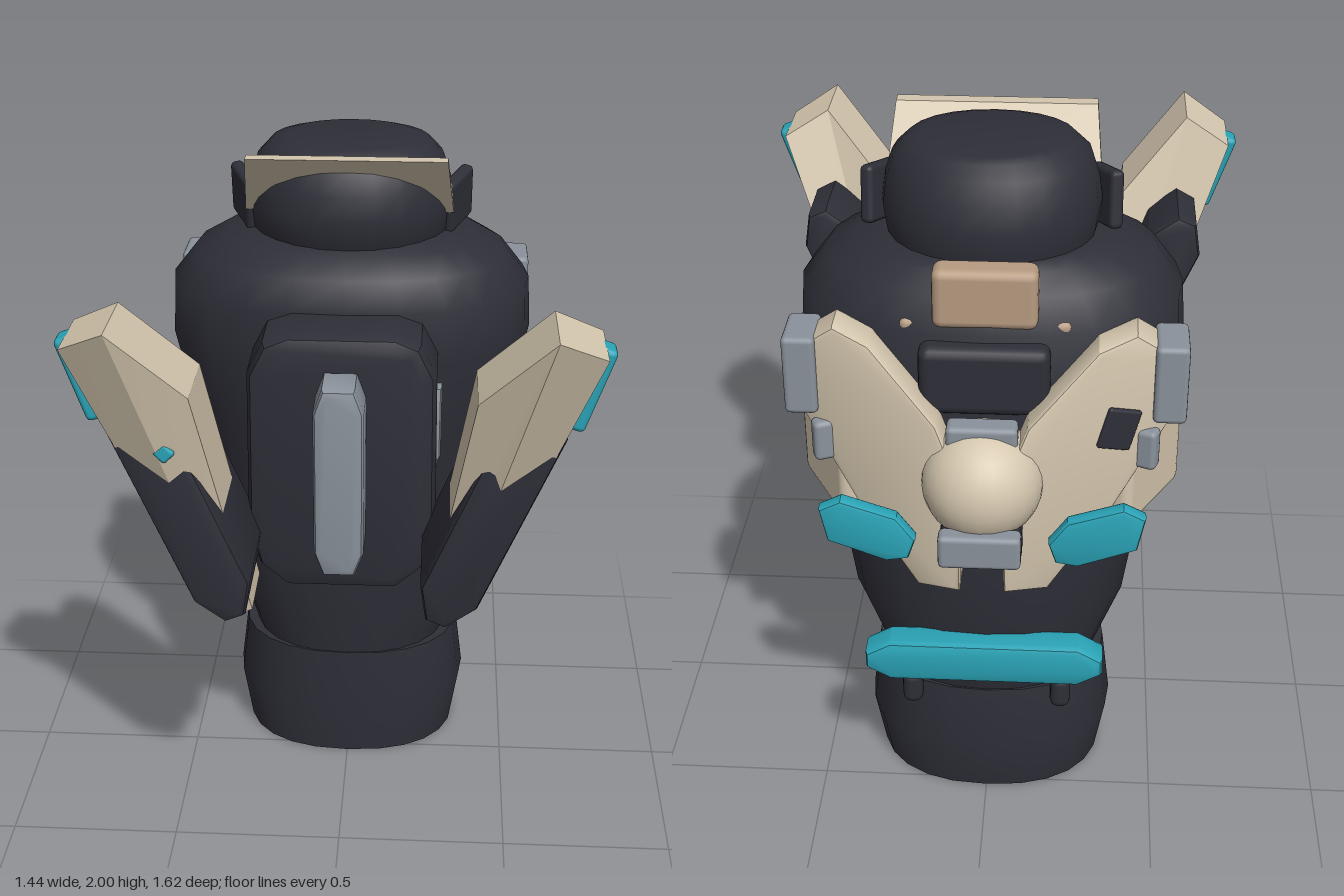
import * as THREE from 'three';
import { toCreasedNormals } from 'three/addons/utils/BufferGeometryUtils.js';
import { RoundedBoxGeometry } from 'three/addons/geometries/RoundedBoxGeometry.js';

const paint = (name, color) => {
  const m = new THREE.MeshStandardMaterial({ color });
  m.name = name;
  return m;
};

export function createModel() {
  const root = new THREE.Group();
  const dark = paint('charcoal', 0x2e2e38);
  const beige = paint('beige armour', 0xd5c7af);
  const grey = paint('grey metal', 0x8a929b);
  const teal = paint('teal accent', 0x2aa3b6);
  const tan = paint('tan', 0xb79b81);

  const add = (name, geometry, material, pos = [0, 0, 0], rot = [0, 0, 0]) => {
    const mesh = new THREE.Mesh(geometry, material);
    mesh.name = name;
    mesh.position.set(...pos);
    mesh.rotation.set(...rot);
    root.add(mesh);
    return mesh;
  };
  const box = (name, material, size, pos, rot, r = 0.015) =>
    add(name, new RoundedBoxGeometry(...size, 2, r), material, pos, rot);

  // Move every vertex of a geometry by a rule
  const reshape = (geometry, rule, crease) => {
    const p = geometry.attributes.position;
    const v = new THREE.Vector3();
    for (let i = 0; i < p.count; i++) {
      v.fromBufferAttribute(p, i);
      rule(v);
      p.setXYZ(i, v.x, v.y, v.z);
    }
    return toCreasedNormals(geometry, crease);
  };

  // Rounded body through sections [y, half width, front z, back z]
  const loft = (sections, power = 2.3) => {
    const n = sections.length - 1;
    const round = (a) => Math.sign(a) * Math.pow(Math.abs(a), 2 / power);
    return reshape(new THREE.CylinderGeometry(1, 1, 1, 24, n), (v) => {
      const [y, hx, front, back] = sections[Math.round((v.y + 0.5) * n)];
      const edge = Math.hypot(v.x, v.z) > 0.5 ? 1 : 0;
      v.set(edge * round(v.x) * hx, y, (front + back) / 2 + edge * round(v.z) * (front - back) / 2);
    }, 0.9);
  };

  // Bevelled plate from an outline in x, y
  const plate = (points, depth, bevel) => {
    const shape = new THREE.Shape(points.map(([x, y]) => new THREE.Vector2(x, y)));
    const g = new THREE.ExtrudeGeometry(shape, {
      depth: depth - 2 * bevel, bevelThickness: bevel, bevelSize: bevel,
      bevelOffset: -bevel, bevelSegments: 2,
    });
    return toCreasedNormals(g.translate(0, 0, bevel), 0.6);
  };
  const mirrored = (half) => [...half, ...half.map(([x, y]) => [-x, y]).reverse()];

  // Torso, hips and head
  add('hips', loft([
    [0, 0.34, 0.04, -0.53], [0.18, 0.37, 0.055, -0.56], [0.38, 0.345, 0.05, -0.535],
  ]), dark);
  add('torso', loft([
    [0.34, 0.3, 0.04, -0.52], [0.4, 0.315, 0.05, -0.535], [0.65, 0.405, 0.075, -0.59],
    [0.95, 0.45, 0.1, -0.6], [1.2, 0.495, 0.15, -0.59], [1.42, 0.54, 0.18, -0.57],
    [1.58, 0.53, 0.18, -0.54], [1.67, 0.46, 0.155, -0.5], [1.72, 0.37, 0.1, -0.46],
    [1.74, 0.3, 0.05, -0.43],
  ]), dark);
  add('head', loft([
    [1.68, 0.27, 0.04, -0.43], [1.75, 0.29, 0.08, -0.44], [1.82, 0.3, 0.09, -0.45],
    [1.89, 0.29, 0.08, -0.43], [1.95, 0.27, 0.055, -0.405], [1.99, 0.23, 0.02, -0.38],
    [2, 0.19, -0.01, -0.35],
  ], 2.1), dark);

  // Brow crest sloping up and forward around the head
  add('browCrest', reshape(new THREE.BoxGeometry(0.58, 0.2, 0.045), (v) => {
    v.x *= v.y > 0 ? 0.97 : 1.04;
    v.z += v.y * 0.9 - 0.02;
    v.y += 1.9;
  }, 0.3), beige);

  // Front pack with its bar and lower tab
  add('frontPack', plate(mirrored([
    [0.15, 1.58], [0.22, 1.55], [0.265, 1.46], [0.27, 0.98], [0.24, 0.86], [0.16, 0.79],
  ]), 0.355, 0.04), dark);
  add('packBar', plate(mirrored([
    [0.045, 1.48], [0.07, 1.41], [0.07, 0.98], [0.045, 0.91],
  ]), 0.15, 0.02), grey, [0, 0, 0.34]);
  add('chestPlate', plate(mirrored([
    [0.28, 1.36], [0.28, 1.14], [0.13, 0.77], [0.09, 0.73],
  ]), 0.13, 0.015), grey, [0, 0, 0.045]);

  // Wing columns [x, y, front z, back z] at bottom and top: inner, ridge, outer
  const wing = [
    [[0.25, 0.78, 0.46, 0.25], [0.37, 1.55, 0.71, 0.48]],
    [[0.31, 0.77, 0.49, 0.27], [0.56, 1.76, 0.81, 0.58]],
    [[0.42, 0.93, 0.52, 0.31], [0.69, 1.69, 0.74, 0.53]],
  ];

  for (const s of [1, -1]) {
    const side = s > 0 ? 'left' : 'right';

    // Raised front wing with its inner block
    add(side + 'Wing', reshape(new THREE.BoxGeometry(1, 1, 1, 2, 1, 1), (v) => {
      const [x, y, front, back] = wing[Math.round(s * v.x * 2) + 1][v.y > 0 ? 1 : 0];
      v.set(s * x, y, v.z > 0 ? front : back);
    }, 0.3), beige);
    add(side + 'WingBlock', plate(mirrored([
      [0.03, 0.37], [0.085, 0.28], [0.085, -0.28], [0.03, -0.37],
    ]), 0.37, 0.02), dark, [s * 0.42, 1.2, 0.285], [0, 0, -s * 0.4]);
    box(side + 'WingLight', teal, [0.05, 0.24, 0.075], [s * 0.66, 1.575, 0.628], [0, 0, -s * 0.33]);

    // Ear flap
    box(side + 'Ear', dark, [0.04, 0.16, 0.15], [s * 0.31, 1.82, -0.16], [0.2, -s * 0.43, 0]);

    // Sloping back armour, swept toward the middle
    const strap = plate([
      [0.3, 1.57], [0.4, 1.6], [0.52, 1.5], [0.51, 1.34], [0.35, 1.07], [0.18, 0.85],
      [0.06, 0.87], [0.05, 1.2], [0.12, 1.38],
    ].map(([x, y]) => [s * x, y]), 0.12, 0.015);
    add(side + 'BackArmour', reshape(strap, (v) => {
      v.z += -0.69 + 0.45 * (Math.abs(v.x) - 0.1);
    }, 0.5), beige);
    box(side + 'ShoulderBlock', grey, [0.09, 0.23, 0.16], [s * 0.495, 1.445, -0.47]);
    box(side + 'SideStud', grey, [0.06, 0.12, 0.05], [s * 0.44, 1.25, -0.535], [0, s * 0.4, 0]);
    box(side + 'SidePlate', beige, [0.1, 0.36, 0.32], [s * 0.43, 1.15, -0.37], [0, s * 0.5, 0], 0.03);

    // Teal tab beside the ball and hook on the hips
    add(side + 'BackTab', plate([
      [0.18, 1.03], [0.23, 1.1], [0.38, 1.15], [0.44, 1.12], [0.42, 1.02], [0.26, 0.96], [0.2, 0.97],
    ].map(([x, y]) => [s * x, y]), 0.05, 0.012), teal, [0, 0, -0.7]);
    box(side + 'HipHook', dark, [0.06, 0.11, 0.07], [s * 0.22, 0.37, -0.5], [0, 0, 0], 0.025);
  }
  box('wingSpark', teal, [0.045, 0.045, 0.05], [-0.445, 1.38, 0.665], [0, 0, 0.78], 0.01);
  box('armourInset', dark, [0.1, 0.12, 0.02], [-0.36, 1.33, -0.575], [0, 0.42, 0.3], 0.008);

  // Centre of the back
  add('backBall', new THREE.SphereGeometry(0.165, 24, 16), beige, [0, 1.2, -0.64]);
  box('ballSocket', dark, [0.22, 0.14, 0.2], [0, 1.05, -0.67], [0, 0, 0], 0.04);
  box('ballClasp', grey, [0.22, 0.1, 0.06], [0, 1.07, -0.78]);
  box('upperClasp', grey, [0.19, 0.08, 0.07], [0, 1.34, -0.65]);
  box('collarBlock', dark, [0.35, 0.2, 0.1], [0, 1.46, -0.54], [0, 0, 0], 0.03);
  add('lowerBackBar', plate(mirrored([
    [0.27, 0.63], [0.34, 0.59], [0.34, 0.54], [0.27, 0.5],
  ]), 0.1, 0.02), teal, [0, 0, -0.65]);

  // Nape pad and its bracket
  box('napePad', tan, [0.28, 0.17, 0.09], [0, 1.675, -0.49], [0, 0, 0], 0.025);
  box('napeBracket', tan, [0.46, 0.06, 0.05], [0, 1.58, -0.49], [0, 0, 0], 0.02);

  return root;
}
